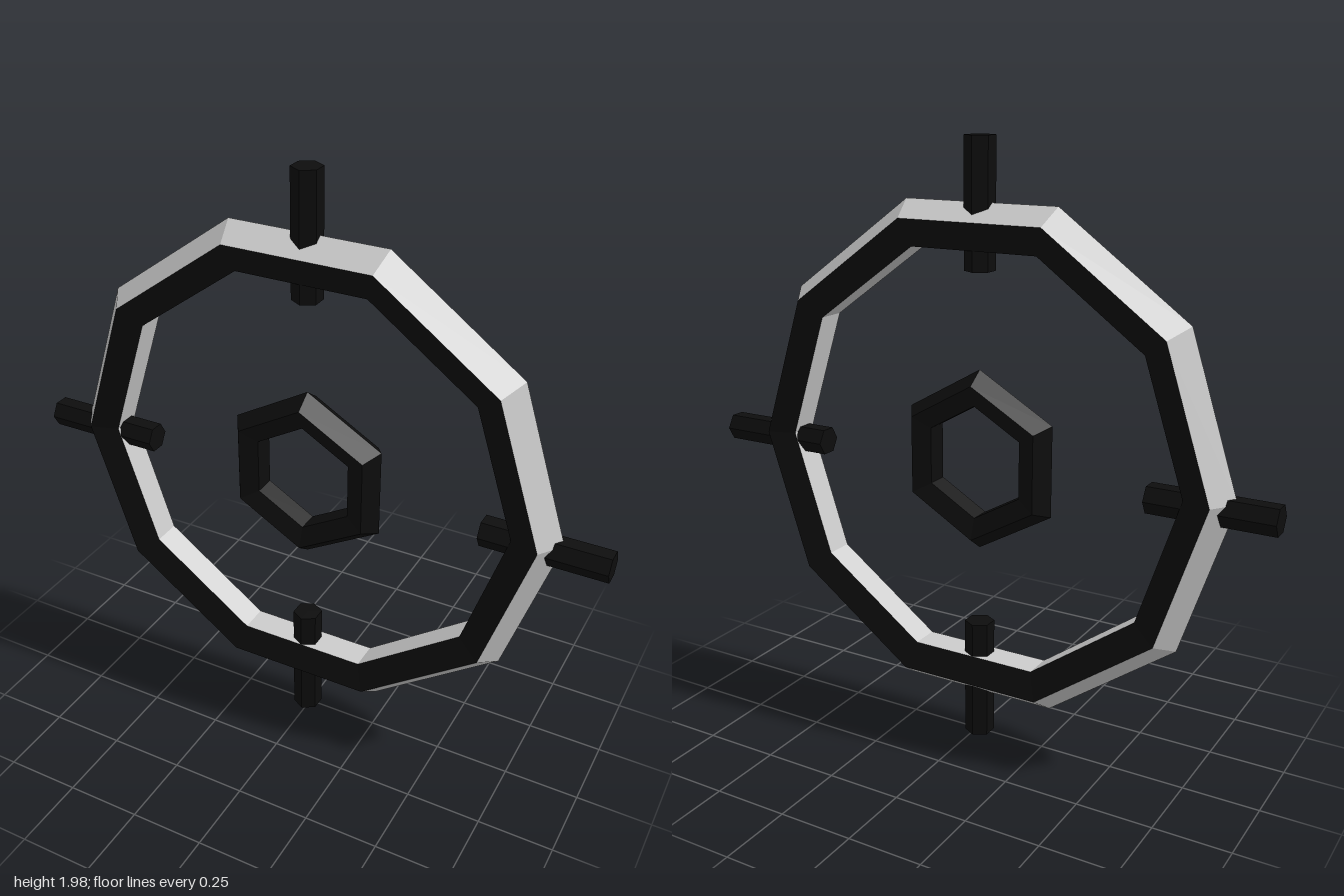
import * as THREE from 'three';

const grey = new THREE.MeshStandardMaterial({ color: 0xcccccc, flatShading: true });
const black = new THREE.MeshStandardMaterial({ color: 0x0d0d0d, flatShading: true });

const CX = -0.01, CY = 0.967; // centre of both rings

// Keeps only the chosen lengthwise bands of a five-sided torus
function ringBands(radius, tube, sides, bands) {
  const geometry = new THREE.TorusGeometry(radius, tube, 5, sides);
  const index = Array.from(geometry.index.array);
  const size = sides * 6;
  geometry.setIndex(bands.flatMap((b) => index.slice(b * size, (b + 1) * size)));
  return geometry;
}

export function createModel() {
  const model = new THREE.Group();
  const add = (name, geometry, material, x, y) => {
    const mesh = new THREE.Mesh(geometry, material);
    mesh.name = name;
    mesh.position.set(x, y, 0);
    model.add(mesh);
    return mesh;
  };

  // Ten-sided outer ring: grey rim and inner wall, black front and back faces
  add('outerRingRim', ringBands(0.777, 0.083, 10, [0, 2, 4]), grey, CX, CY);
  add('outerRingFaces', ringBands(0.777, 0.083, 10, [1, 3]), black, CX, CY);

  // Six-sided inner ring, standing on a corner
  const inner = add('innerRing', new THREE.TorusGeometry(0.237, 0.062, 5, 6), black, CX, CY);
  inner.rotation.z = Math.PI / 2;

  // Four hexagonal bars crossing the outer ring
  const bar = new THREE.CylinderGeometry(0.049, 0.049, 0.406, 6);
  add('topBar', bar, black, CX, 1.78);
  add('bottomBar', bar, black, CX, 0.203);
  for (const side of [1, -1]) {
    const mesh = add(side > 0 ? 'leftBar' : 'rightBar', bar, black, side * 0.797, 0.942);
    mesh.rotation.z = Math.PI / 2;
  }
  return model;
}
